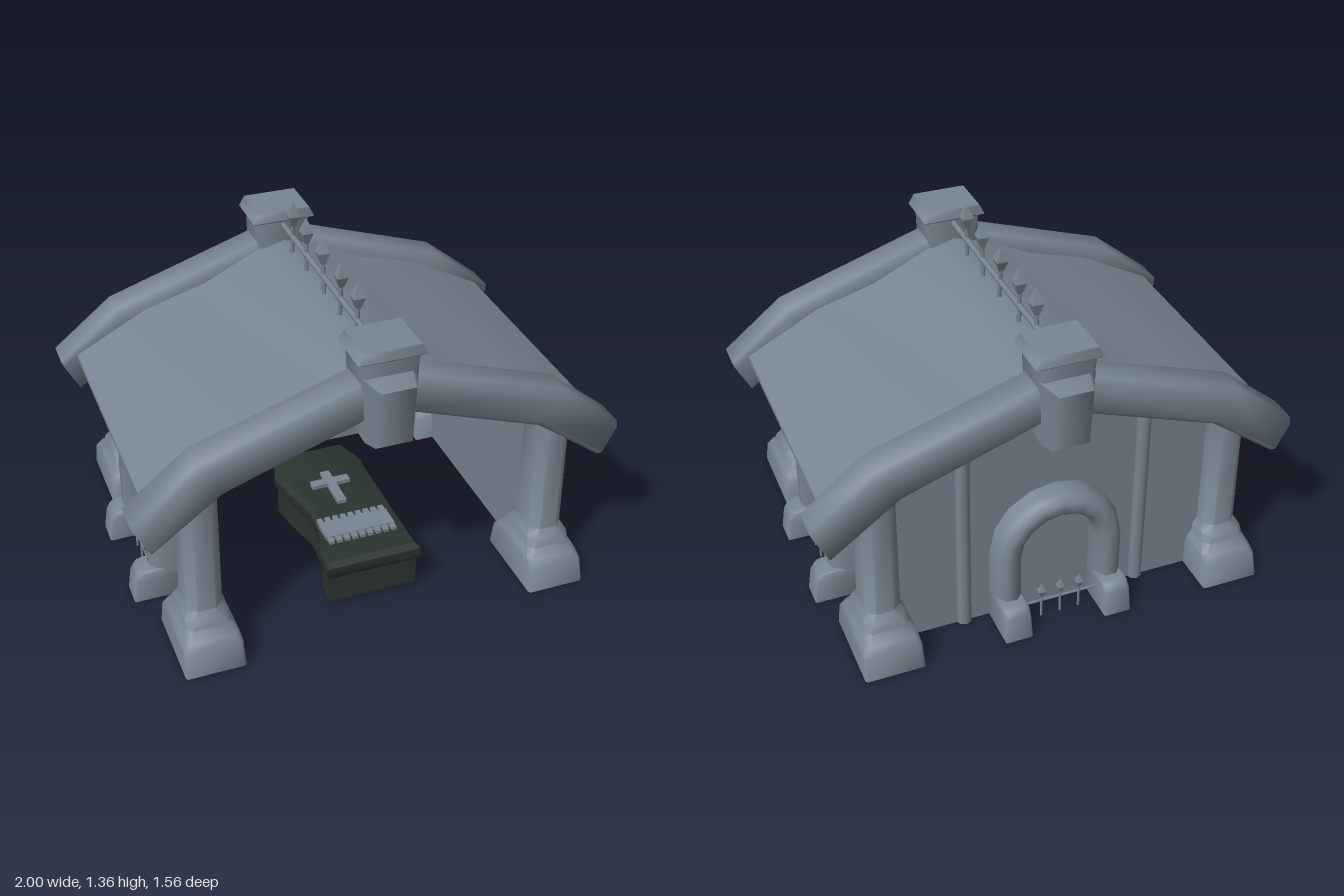
import * as THREE from 'three';
import { toCreasedNormals } from 'three/addons/utils/BufferGeometryUtils.js';

const stone = new THREE.MeshStandardMaterial({ color: 0x788591 });
stone.name = 'blue grey stone';
const darkWood = new THREE.MeshStandardMaterial({ color: 0x2b3430 });
darkWood.name = 'dark coffin wood';

function add(parent, name, geometry, material = stone, x = 0, y = 0, z = 0) {
  const mesh = new THREE.Mesh(geometry, material);
  mesh.name = name;
  mesh.position.set(x, y, z);
  parent.add(mesh);
  return mesh;
}

// Closed skin through equal-length loops of [x, y, z], capped at both ends
function loft(loops, crease = 0.95) {
  const n = loops[0].length, pos = loops.flat(2), idx = [];
  for (let i = 0; i < loops.length - 1; i++) {
    for (let j = 0; j < n; j++) {
      const a = i * n + j, b = i * n + (j + 1) % n;
      idx.push(a, b, a + n, b, b + n, a + n);
    }
  }
  const last = (loops.length - 1) * n;
  for (let j = 1; j < n - 1; j++) {
    idx.push(0, j + 1, j, last, last + j, last + j + 1);
  }
  // turn the faces outward if the enclosed volume is negative
  const p = (i) => new THREE.Vector3().fromArray(pos, i * 3);
  let volume = 0;
  for (let i = 0; i < idx.length; i += 3) volume += p(idx[i]).dot(p(idx[i + 1]).cross(p(idx[i + 2])));
  if (volume < 0) idx.reverse();
  const g = new THREE.BufferGeometry();
  g.setAttribute('position', new THREE.Float32BufferAttribute(pos, 3));
  g.setIndex(idx);
  return toCreasedNormals(g, crease);
}

// Chamfered rectangle as [u, v] points
function chamfered(u0, u1, v0, v1, c) {
  return [[u0 + c, v0], [u1 - c, v0], [u1, v0 + c], [u1, v1 - c],
    [u1 - c, v1], [u0 + c, v1], [u0, v1 - c], [u0, v0 + c]];
}

// Upright block from levels of [y, x0, x1, z0, z1, chamfer]
function stacked(levels) {
  return loft(levels.map(([y, x0, x1, z0, z1, c]) =>
    chamfered(x0, x1, z0, z1, c).map(([x, z]) => [x, y, z])));
}

// Iron spear standing on y = 0, with a four-sided head
function spear(parent, height, headLength, r, x, y, z, tilt = 0) {
  const g = new THREE.Group();
  g.name = 'spear';
  const shaft = height - headLength;
  add(g, 'spearShaft', new THREE.CylinderGeometry(r * 0.26, r * 0.26, shaft, 6), stone, 0, shaft / 2, 0);
  const head = new THREE.LatheGeometry([[0, 0], [r * 0.4, 0], [r, headLength * 0.42], [0, headLength]]
    .map(([a, b]) => new THREE.Vector2(a, b)), 4);
  add(g, 'spearHead', toCreasedNormals(head, 0.6), stone, 0, shaft, 0).rotation.y = Math.PI / 4;
  g.position.set(x, y, z);
  g.rotation.x = tilt;
  parent.add(g);
}

// Blind arch with feet and a low fence, facing +z
function archway(name) {
  const g = new THREE.Group();
  g.name = name;
  // rounded section of [offset from the centre line, depth] carried along a U
  const section = [[0.055, -0.01], [0.055, 0.06], [0.045, 0.095], [0.022, 0.12],
    [-0.022, 0.12], [-0.045, 0.095], [-0.055, 0.06], [-0.055, -0.01]];
  const ring = [section.map(([r, z]) => [0.215 + r, 0.03, z])];
  for (let i = 0; i <= 8; i++) {
    const a = Math.PI * i / 8;
    ring.push(section.map(([r, z]) => [Math.cos(a) * (0.215 + r), 0.33 + Math.sin(a) * (0.212 + r), z]));
  }
  ring.push(section.map(([r, z]) => [-0.215 - r, 0.03, z]));
  add(g, 'archRing', loft(ring));
  for (const side of [-1, 1]) {
    add(g, 'archFoot', stacked([[0, -0.058, 0.058, -0.01, 0.2, 0.006], [0.1, -0.056, 0.056, -0.01, 0.187, 0.01],
      [0.132, -0.054, 0.054, -0.01, 0.172, 0.014], [0.142, -0.048, 0.048, -0.01, 0.155, 0.016]]), stone, side * 0.215, 0, 0);
  }
  const rail = add(g, 'fenceRail', new THREE.CylinderGeometry(0.006, 0.006, 0.33, 6), stone, 0, 0.085, 0.1);
  rail.rotation.z = Math.PI / 2;
  for (const x of [-0.082, 0, 0.082]) spear(g, 0.165, 0.062, 0.02, x, 0.005, 0.1);
  return g;
}

function buildCoffin() {
  const g = new THREE.Group();
  g.name = 'coffin';
  // half widths along the length, pinched in the middle
  const plan = [[0.57, 0.195], [0.46, 0.185], [0.34, 0.145], [0.2, 0.135], [0.04, 0.175], [-0.08, 0.195], [-0.21, 0.15]];
  const outline = (y, grow) => {
    const pts = plan.map(([z, w]) => [w + grow, y, 0.18 + (z - 0.18) * (1 + grow * 2.5)]);
    return [...pts, ...pts.map(([x, , z]) => [-x, y, z]).reverse()];
  };
  add(g, 'coffinBody', loft([outline(0.02, -0.005), outline(0.16, -0.005)], 0.7), darkWood);
  add(g, 'coffinLid', loft([outline(0.145, 0), outline(0.16, 0.008), outline(0.2, 0.008), outline(0.22, -0.012)], 0.7), darkWood);
  add(g, 'crossUpright', new THREE.BoxGeometry(0.04, 0.022, 0.22), stone, 0, 0.226, 0.1);
  add(g, 'crossArms', new THREE.BoxGeometry(0.17, 0.022, 0.04), stone, 0, 0.226, 0.06);
  add(g, 'plaque', new THREE.BoxGeometry(0.3, 0.022, 0.1), stone, 0, 0.227, 0.375);
  for (const z of [0.315, 0.435]) {
    for (let i = -4; i <= 4; i++) {
      add(g, 'plaqueFringe', new THREE.BoxGeometry(0.022, 0.018, 0.04), stone, i * 0.034, 0.226, z);
    }
  }
  add(g, 'coffinSupport', new THREE.BoxGeometry(0.2, 0.07, 0.17), stone, 0, 0.038, -0.145);
  return g;
}

export function createModel() {
  const model = new THREE.Group();
  model.name = 'crypt';

  // Walls, open at the front
  const backShape = new THREE.Shape([[-0.73, 0], [0.73, 0], [0.73, 0.8], [0.62, 0.86], [0.36, 0.93], [0, 1.07],
    [-0.36, 0.93], [-0.62, 0.86], [-0.73, 0.8]].map(([x, y]) => new THREE.Vector2(x, y)));
  add(model, 'backWall', new THREE.ExtrudeGeometry(backShape, { depth: 0.04, bevelEnabled: false }), stone, 0, 0, -0.59);
  for (const s of [-1, 1]) {
    add(model, 'sideWall', new THREE.BoxGeometry(0.04, 0.8, 1.05), stone, s * 0.715, 0.4, -0.05);
    add(model, 'backPilaster', new THREE.CylinderGeometry(0.032, 0.032, 0.92, 8), stone, s * 0.38, 0.46, -0.585);
  }

  // Corner columns with flared bases
  const columnLevels = [[0, 0.61, 0.855, 0.4, 0.78, 0.008], [0.1, 0.613, 0.85, 0.412, 0.762, 0.012],
    [0.135, 0.62, 0.84, 0.43, 0.74, 0.02], [0.165, 0.637, 0.825, 0.452, 0.705, 0.025],
    [0.2, 0.642, 0.82, 0.462, 0.698, 0.03], [0.23, 0.66, 0.803, 0.487, 0.672, 0.035], [0.76, 0.66, 0.8, 0.49, 0.67, 0.035]];
  for (const sx of [-1, 1]) {
    for (const sz of [-1, 1]) {
      add(model, 'cornerColumn', stacked(columnLevels.map(([y, a, b, c, d, e]) =>
        [y, ...(sx > 0 ? [a, b] : [-b, -a]), ...(sz > 0 ? [c, d] : [-d, -c]), e])));
    }
  }

  // Slightly sagging roof sheet
  const half = [[0.93, 0.732], [0.62, 0.895], [0.36, 0.97], [0.12, 1.085]];
  const ridge = [...half, [0, 1.12], ...half.map(([x, y]) => [-x, y]).reverse()];
  add(model, 'roof', loft(ridge.map(([x, y]) => [[x, y, -0.55], [x, y, 0.55], [x, y - 0.022, 0.55], [x, y - 0.022, -0.55]])));

  // Gable beams: [top x, top y, underside x, underside y] at each bend
  const bends = [[1, 0.7, 0.925, 0.555], [0.745, 0.905, 0.645, 0.76], [0, 1.15, 0, 0.985],
    [-0.745, 0.905, -0.645, 0.76], [-1, 0.7, -0.925, 0.555]];
  const section = chamfered(0, 1, 0, 1, 0.13);
  for (const s of [-1, 1]) {
    const end = s > 0 ? 'front' : 'back';
    add(model, end + 'Gable', loft(bends.map(([tx, ty, ux, uy]) => section.map(([u, v]) =>
      [tx + (ux - tx) * u, ty + (uy - ty) * u, s * (0.524 + 0.166 * v)])), 1.65));

    // Keystone with a bulging face and a cap
    const keystone = new THREE.Group();
    keystone.name = end + 'Keystone';
    add(keystone, 'keystoneBody', stacked([[0.868, -0.098, 0.098, 0.52, 0.69, 0.012], [1.22, -0.115, 0.115, 0.51, 0.7, 0.012]]));
    add(keystone, 'keystoneFace', loft([[0.868, 0.098, 0.075, 0.74], [1.125, 0.11, 0.07, 0.772], [1.15, 0.111, 0.08, 0.705]]
      .map(([y, w, f, z]) => [[-w, y, 0.66], [-w, y, 0.69], [-f, y, z], [f, y, z], [w, y, 0.69], [w, y, 0.66]]), 1.2));
    add(keystone, 'keystoneCap', stacked([[1.21, -0.118, 0.118, 0.51, 0.7, 0.004], [1.22, -0.136, 0.136, 0.497, 0.712, 0.004],
      [1.262, -0.115, 0.115, 0.505, 0.705, 0.004]]));
    if (s < 0) keystone.rotation.y = Math.PI;
    model.add(keystone);
  }

  // Ridge railing with slightly leaning spears
  const ridgeRail = add(model, 'ridgeRail', new THREE.CylinderGeometry(0.013, 0.013, 1.04, 8), stone, 0, 1.193, 0);
  ridgeRail.rotation.x = Math.PI / 2;
  const spears = [[0.355, 0], [0.167, 0.06], [-0.01, -0.1], [-0.22, 0], [-0.4, 0.07]];
  for (const [z, tilt] of spears) spear(model, 0.263, 0.115, 0.034, 0, 1.1, z, tilt);

  // Blind arches on the sides and back
  for (const [name, angle, x, z] of [['leftArch', Math.PI / 2, 0.712, 0], ['rightArch', -Math.PI / 2, -0.73, 0],
    ['backArch', Math.PI, 0, -0.58]]) {
    const arch = archway(name);
    arch.rotation.y = angle;
    arch.position.set(x, 0, z);
    model.add(arch);
  }

  model.add(buildCoffin());
  return model;
}
